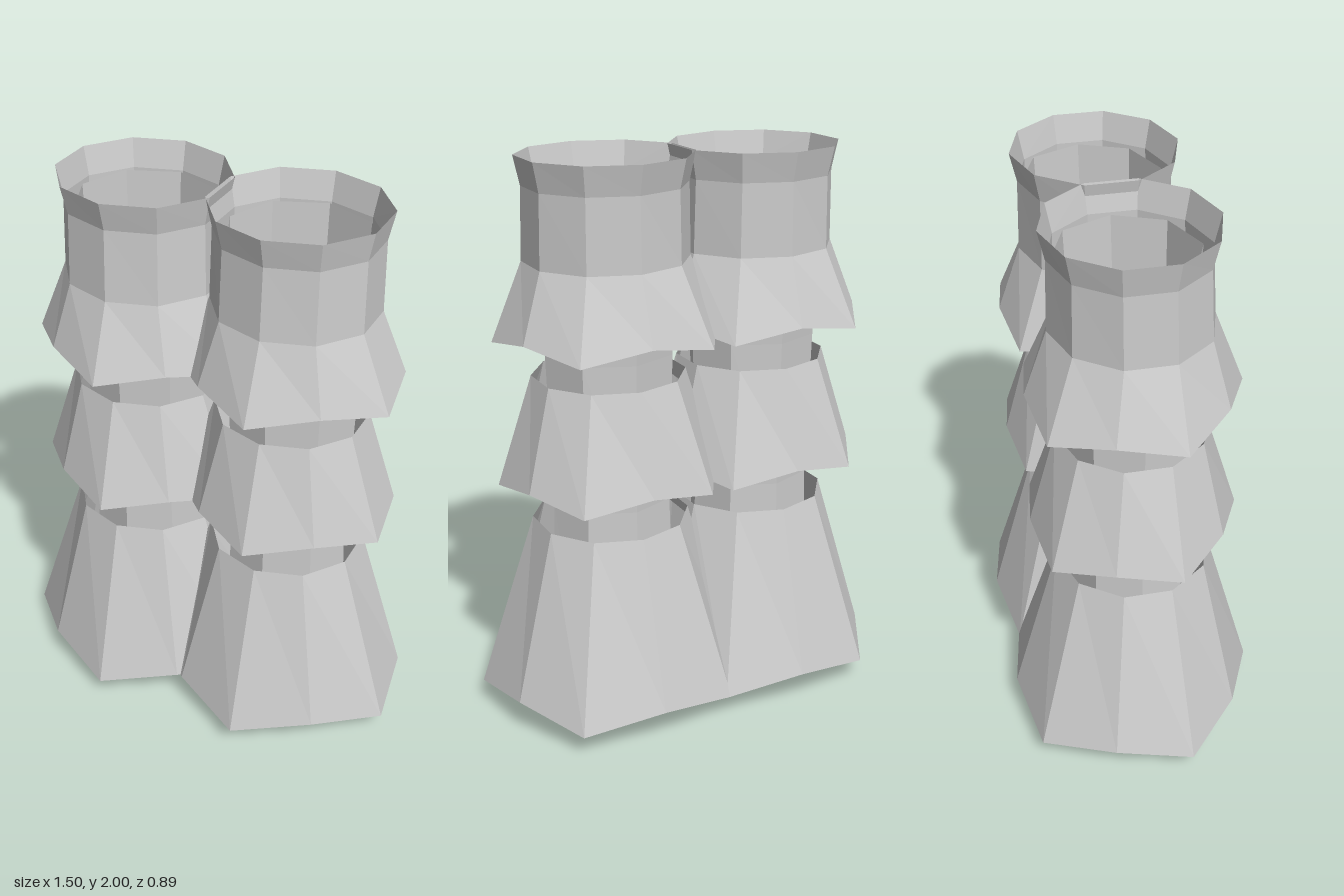
import * as THREE from 'three';

// Regular ring: points run from the front (+z) round through +x
function ring(sides, y, rx, rz, cz) {
  return Array.from({ length: sides }, (_, i) => {
    const a = (i / sides) * Math.PI * 2;
    return [Math.sin(a) * rx, y, cz + Math.cos(a) * rz];
  });
}

// Hem ring: half outline [x, z] from front to back, mirrored, with a zigzag edge
function hem(half, yLow, yHigh) {
  const right = half.map(([x, z], i) => [x, i % 2 ? yHigh : yLow, z]);
  const left = right.slice(1, -1).reverse().map(([x, y, z]) => [-x, y, z]);
  return [...right, ...left];
}

// Open faceted shell through rings listed from bottom to top
function shell(name, rings, material) {
  const pos = [];
  const n = rings[0].length;
  for (let r = 0; r < rings.length - 1; r++) {
    for (let i = 0; i < n; i++) {
      const j = (i + 1) % n;
      const a = rings[r][i], b = rings[r][j], c = rings[r + 1][j], d = rings[r + 1][i];
      pos.push(...a, ...b, ...d, ...b, ...c, ...d);
    }
  }
  const geo = new THREE.BufferGeometry();
  geo.setAttribute('position', new THREE.Float32BufferAttribute(pos, 3));
  geo.computeVertexNormals();
  const mesh = new THREE.Mesh(geo, material);
  mesh.name = name;
  return mesh;
}

export function createModel() {
  const model = new THREE.Group();
  model.name = 'tieredLegs';
  const grey = new THREE.MeshStandardMaterial({ color: 0xcccccc, side: THREE.DoubleSide, flatShading: true });
  grey.name = 'light grey';

  const wideHem = [[0, 0.445], [0.27, 0.32], [0.47, 0.12], [0.43, -0.155], [0.29, -0.40], [0, -0.45]];
  const smallHem = [[0, 0.365], [0.22, 0.26], [0.385, 0.085], [0.355, -0.14], [0.24, -0.335], [0, -0.37]];

  for (const side of [1, -1]) {
    const leg = new THREE.Group();
    leg.name = side > 0 ? 'leftLeg' : 'rightLeg';
    leg.position.x = side * 0.28;

    // Inner tube, visible between the tiers
    leg.add(shell('innerTube', [
      ring(8, 0, 0.25, 0.235, -0.02),
      ring(8, 0.8, 0.22, 0.21, -0.02),
      ring(8, 1.33, 0.235, 0.22, -0.02),
      ring(8, 1.9, 0.25, 0.24, -0.03),
    ], grey));

    // Flared tiers
    leg.add(shell('lowerTier', [
      hem(wideHem, 0.08, 0.125),
      ring(10, 0.72, 0.28, 0.275, -0.01),
    ], grey));
    leg.add(shell('middleTier', [
      hem(smallHem, 0.86, 0.9),
      ring(10, 1.25, 0.27, 0.26, -0.015),
    ], grey));
    // Top tier continues into a straight cuff with a flared rim
    leg.add(shell('upperTier', [
      hem(smallHem, 1.38, 1.42),
      ring(10, 1.65, 0.288, 0.275, -0.015),
      ring(10, 1.9, 0.282, 0.265, -0.02),
      ring(10, 2, 0.303, 0.288, -0.02),
    ], grey));

    model.add(leg);
  }
  return model;
}
